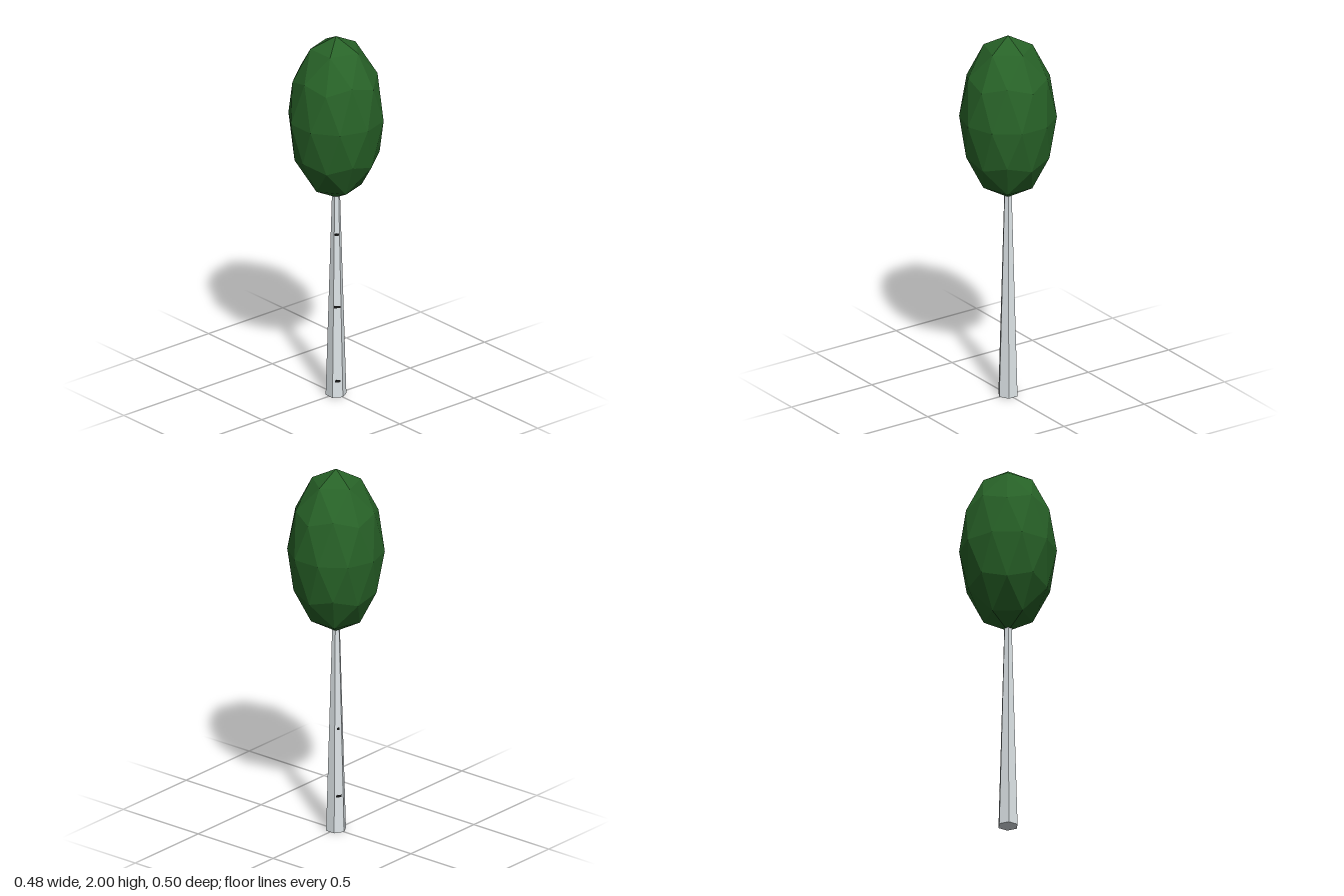
import * as THREE from 'three';

const BASE_R = 0.054, TOP_R = 0.021, TRUNK_H = 1.12, SIDES = 6;

const flat = (name, color) => {
  const m = new THREE.MeshStandardMaterial({ color, flatShading: true });
  m.name = name;
  return m;
};

export function createModel() {
  const leafGreen = flat('leaf green', 0x286328);
  const paleBark = flat('pale bark', 0xdfe6e9);
  const darkBark = flat('dark bark', 0x151515);

  const tree = new THREE.Group();
  tree.name = 'tree';
  const add = (name, geometry, material) => {
    const mesh = new THREE.Mesh(geometry, material);
    mesh.name = name;
    tree.add(mesh);
    return mesh;
  };

  // Tapered six-sided trunk with a corner towards the front
  const trunk = new THREE.CylinderGeometry(TOP_R, BASE_R, TRUNK_H, SIDES, 1);
  add('trunk', trunk.translate(0, TRUNK_H / 2, 0), paleBark);

  // Faceted crown: an icosphere with its pole upright, stretched in height
  const crown = new THREE.IcosahedronGeometry(1, 1);
  crown.rotateZ(-Math.atan(2 / (1 + Math.sqrt(5))));
  crown.scale(0.25, 0.45, 0.25).translate(0, 1.55, 0);
  add('crown', crown, leafGreen);

  // Thin bark marks lying on the trunk faces: face index, height, share of face width
  const slope = Math.atan(((BASE_R - TOP_R) * Math.cos(Math.PI / SIDES)) / TRUNK_H);
  const marks = [[5, 0.09, 0.55], [5, 0.5, 0.8], [5, 0.9, 0.8], [2, 0.2, 0.6], [2, 0.57, 0.4]];
  for (const [face, y, share] of marks) {
    const r = THREE.MathUtils.lerp(BASE_R, TOP_R, y / TRUNK_H);
    const mark = new THREE.BoxGeometry(r * share, 0.012, 0.002);
    mark.rotateX(-slope).translate(0, y, r * Math.cos(Math.PI / SIDES));
    mark.rotateY(((face + 0.5) * 2 * Math.PI) / SIDES);
    add('barkMark', mark, darkBark);
  }
  return tree;
}
